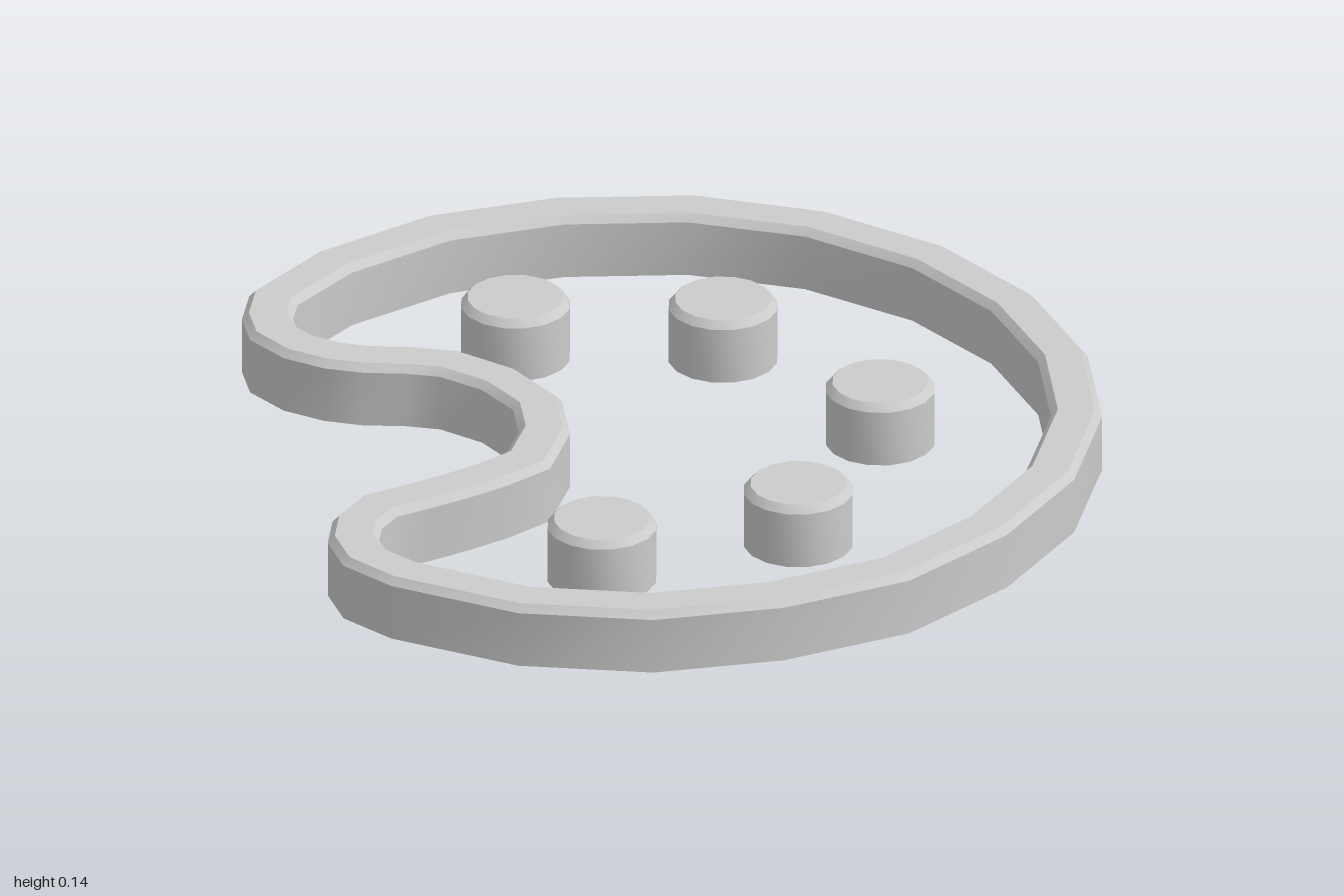
import * as THREE from 'three';
import { toCreasedNormals } from 'three/addons/utils/BufferGeometryUtils.js';

const HEIGHT = 0.145, SHOULDER = 0.128, BEVEL = 0.015, WALL = 0.11;

// Outer outline of the palette rim as [x, z], clockwise seen from above
const OUTLINE = [
  [-.19, -.99], [.12, -1], [.41, -.92], [.66, -.76], [.85, -.54], [.97, -.26], [1, .04],
  [.95, .34], [.80, .60], [.60, .81], [.34, .95], [.04, 1],
  [-.10, .98], [-.19, .91], [-.24, .82], [-.25, .70], [-.20, .60], [-.16, .51], [-.13, .43],
  [-.11, .35], [-.15, .24], [-.22, .16], [-.33, .12], [-.44, .12],
  [-.51, .15], [-.59, .20], [-.67, .23], [-.77, .24], [-.88, .21], [-.95, .14], [-1, .04],
  [-.99, -.20], [-.89, -.48], [-.71, -.71], [-.47, -.89],
].map(([x, z]) => new THREE.Vector2(x, z));

// Inward mitre direction at every outline point
function mitres(points) {
  const n = points.length;
  const inward = (a, b) => {
    const d = b.clone().sub(a).normalize();
    return new THREE.Vector2(-d.y, d.x);
  };
  return points.map((p, i) => {
    const n1 = inward(points[(i + n - 1) % n], p);
    const n2 = inward(p, points[(i + 1) % n]);
    return n1.clone().add(n2).divideScalar(1 + n1.dot(n2));
  });
}

// Sweep a closed [inset, height] section along the outline
function sweep(points, section) {
  const dirs = mitres(points), n = points.length, m = section.length;
  const positions = [], index = [];
  points.forEach((p, i) => {
    section.forEach(([inset, y], j) => {
      positions.push(p.x + dirs[i].x * inset, y, p.y + dirs[i].y * inset);
      const i2 = (i + 1) % n, j2 = (j + 1) % m;
      const a = i * m + j, b = i * m + j2, c = i2 * m + j, d = i2 * m + j2;
      index.push(a, b, c, b, d, c);
    });
  });
  const g = new THREE.BufferGeometry();
  g.setAttribute('position', new THREE.Float32BufferAttribute(positions, 3));
  g.setIndex(index);
  return toCreasedNormals(g, 0.62);
}

export function createModel() {
  const group = new THREE.Group();
  group.name = 'palette';
  const material = new THREE.MeshStandardMaterial({ color: 0xcccccc });

  // Rim with bevelled top edges
  const rim = new THREE.Mesh(sweep(OUTLINE, [
    [0, 0], [0, SHOULDER], [BEVEL, HEIGHT],
    [WALL - BEVEL, HEIGHT], [WALL, SHOULDER], [WALL, 0],
  ]), material);
  rim.name = 'paletteRim';
  group.add(rim);

  // Round paint dabs
  const profile = [[0, 0], [.12, 0], [.12, SHOULDER], [.12 - BEVEL, HEIGHT], [0, HEIGHT]]
    .map(([r, y]) => new THREE.Vector2(r, y));
  const dabGeometry = toCreasedNormals(new THREE.LatheGeometry(profile, 16), 0.62);
  [[-.505, -.26], [-.13, -.51], [.375, -.38], [.505, .12], [.25, .5]].forEach(([x, z], i) => {
    const dab = new THREE.Mesh(dabGeometry, material);
    dab.name = `paintDab${i + 1}`;
    dab.position.set(x, 0, z);
    group.add(dab);
  });
  return group;
}
